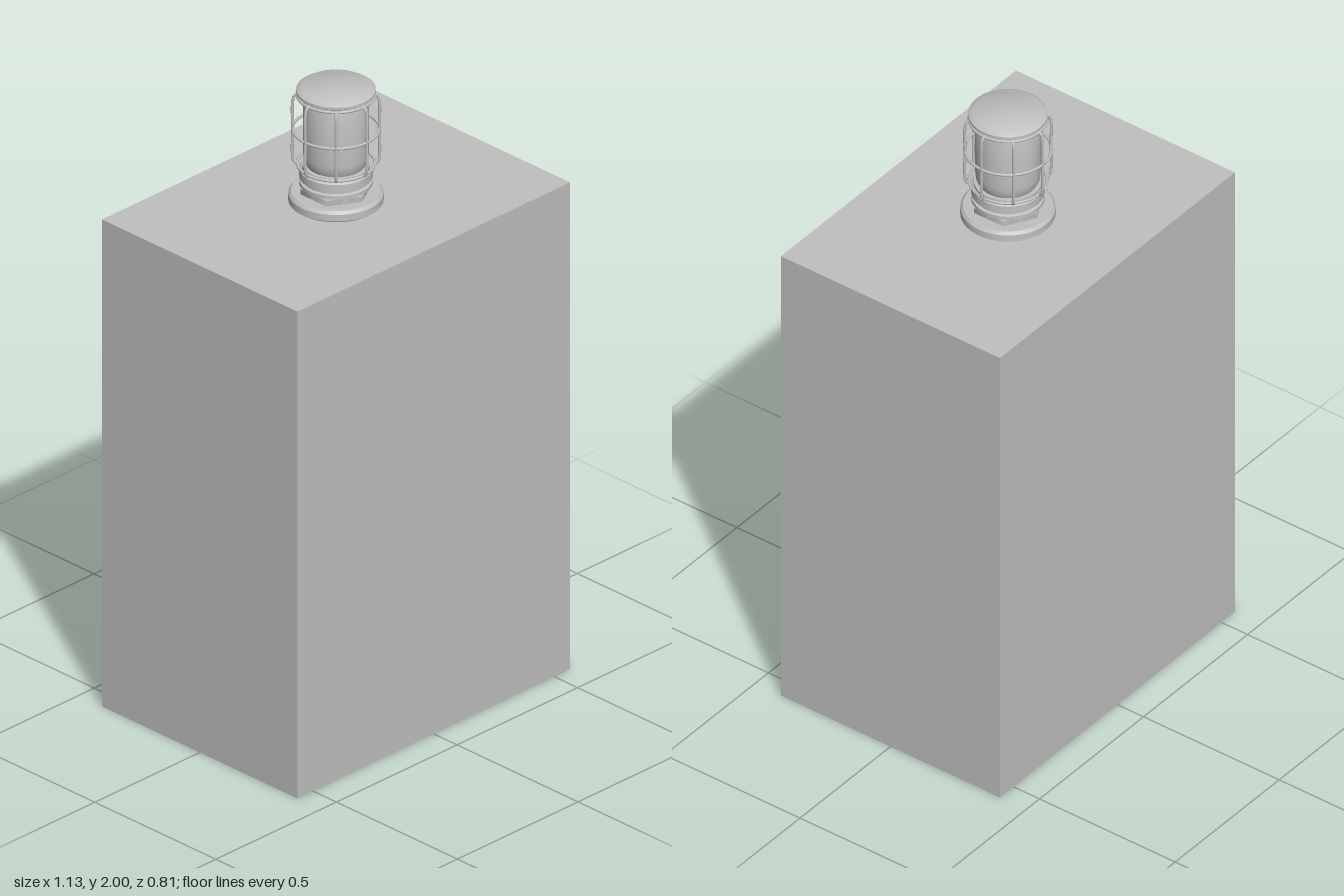
import * as THREE from 'three';
import { toCreasedNormals } from 'three/addons/utils/BufferGeometryUtils.js';

export function createModel() {
  const model = new THREE.Group();
  model.name = 'cabinetWithLamp';
  const grey = new THREE.MeshStandardMaterial({ color: 0xc0c0c0 });
  grey.name = 'light grey';

  const add = (name, geometry, parent, y = 0) => {
    const mesh = new THREE.Mesh(geometry, grey);
    mesh.name = name;
    mesh.position.y = y;
    parent.add(mesh);
    return mesh;
  };
  // turned part from [radius, height] pairs, bottom to top
  const turned = (name, profile, parent) => {
    const points = profile.map(([r, y]) => new THREE.Vector2(r, y));
    return add(name, toCreasedNormals(new THREE.LatheGeometry(points, 48), 0.6), parent);
  };

  // cabinet body
  const height = 1.617;
  add('cabinet', new THREE.BoxGeometry(1.13, height, 0.808), model, height / 2);

  const lamp = new THREE.Group();
  lamp.name = 'lamp';
  lamp.position.y = height;
  model.add(lamp);

  // mounting flange with rounded edge
  turned('flange', [[0, 0], [0.132, 0], [0.14, 0.006], [0.14, 0.028],
    [0.132, 0.037], [0.1, 0.037], [0, 0.037]], lamp);

  // hexagonal nut and ridged neck
  add('nut', new THREE.CylinderGeometry(0.108, 0.108, 0.018, 6).toNonIndexed(), lamp, 0.046);
  turned('neck', [[0.094, 0.037], [0.094, 0.06], [0.108, 0.062], [0.108, 0.073],
    [0.1, 0.076], [0.1, 0.082], [0.108, 0.085], [0.108, 0.11],
    [0.1, 0.116], [0.1, 0.125], [0, 0.125]], lamp);

  // glass
  turned('glass', [[0, 0.122], [0.085, 0.122], [0.094, 0.14], [0.096, 0.16],
    [0.096, 0.33], [0.09, 0.35], [0.075, 0.362], [0, 0.366]], lamp);

  // cap
  turned('cap', [[0, 0.358], [0.108, 0.358], [0.117, 0.364], [0.117, 0.372],
    [0.1, 0.383], [0, 0.383]], lamp);

  // cage rings
  const cage = new THREE.Group();
  cage.name = 'cage';
  lamp.add(cage);
  for (const [name, r, y] of [['lowerRing', 0.114, 0.127], ['middleRing', 0.127, 0.241], ['upperRing', 0.114, 0.354]]) {
    add(name, new THREE.TorusGeometry(r, 0.0045, 8, 48).rotateX(Math.PI / 2), cage, y);
  }

  // bent cage bars
  const bend = [[0.112, 0.127], [0.122, 0.13], [0.127, 0.15], [0.127, 0.241],
    [0.127, 0.33], [0.122, 0.35], [0.11, 0.358]];
  const path = new THREE.CatmullRomCurve3(bend.map(([x, y]) => new THREE.Vector3(x, y, 0)));
  const bar = new THREE.TubeGeometry(path, 28, 0.0045, 8);
  for (let i = 0; i < 8; i++) {
    add('cageBar', bar, cage).rotation.y = i * Math.PI / 4;
  }
  return model;
}
